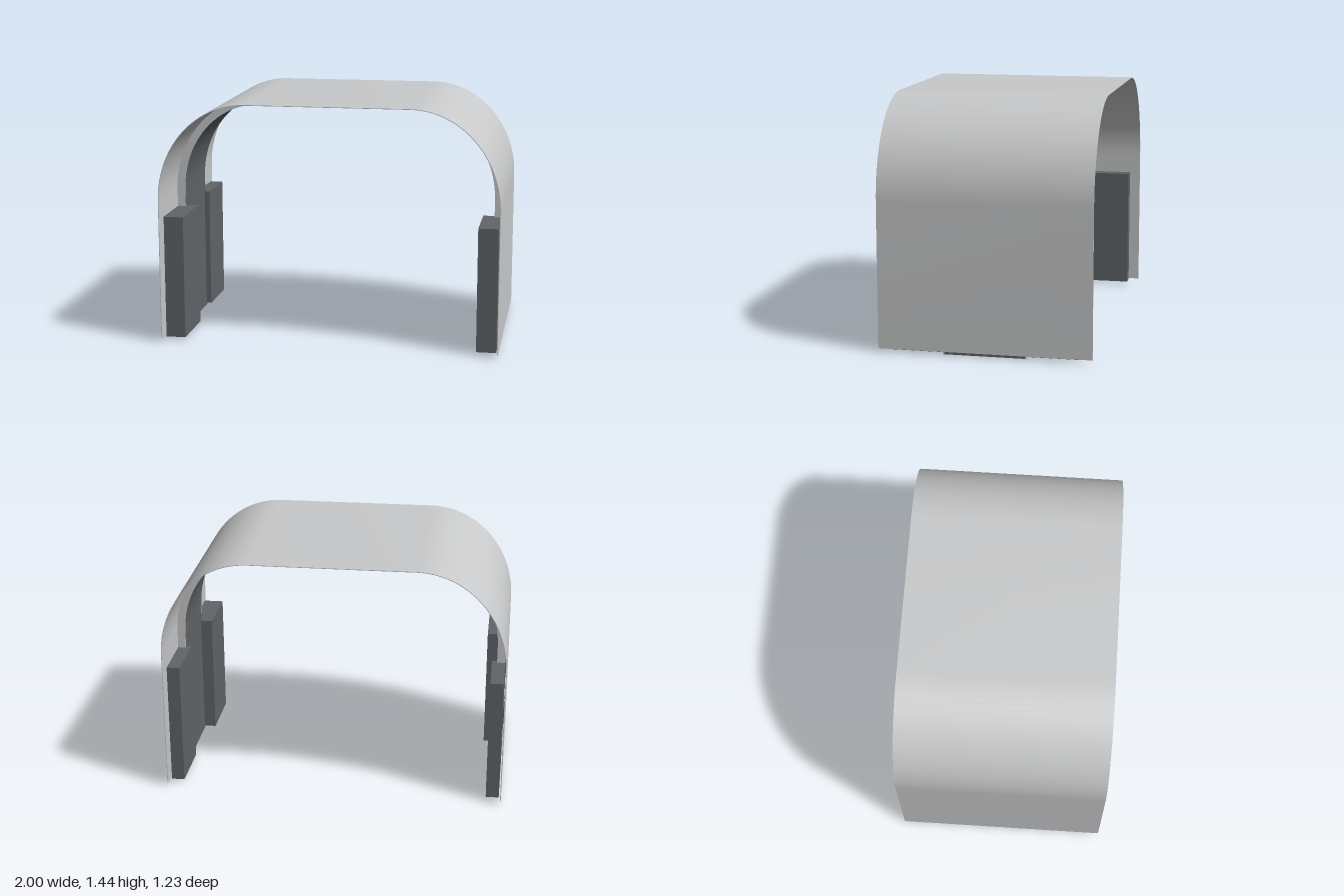
import * as THREE from 'three';
import { toCreasedNormals } from 'three/addons/utils/BufferGeometryUtils.js';

const CX = 0.48, CY = 0.86; // centre of the rounded corners

// Points of an arch line from the right foot over the top to the left foot
function archLine(halfWidth, top, foot) {
  const steps = 24, rx = halfWidth - CX, ry = top - CY;
  const right = [new THREE.Vector2(halfWidth, foot)];
  for (let i = 0; i <= steps; i++) {
    const a = (i / steps) * Math.PI / 2;
    right.push(new THREE.Vector2(CX + rx * Math.cos(a), CY + ry * Math.sin(a)));
  }
  const left = right.map(p => new THREE.Vector2(-p.x, p.y)).reverse();
  return [...right, ...left];
}

// Solid arch between an outer and an inner line, from z0 to z1
function archGeometry(outer, inner, foot, z0, z1) {
  const points = [...archLine(outer[0], outer[1], foot), ...archLine(inner[0], inner[1], foot).reverse()];
  const geometry = new THREE.ExtrudeGeometry(new THREE.Shape(points), { depth: z1 - z0, bevelEnabled: false });
  geometry.translate(0, 0, z0);
  return toCreasedNormals(geometry, 0.5);
}

export function createModel() {
  const group = new THREE.Group();
  const lightGrey = new THREE.MeshStandardMaterial({ color: 0xc8c9ca });
  lightGrey.name = 'lightGrey';
  const darkGrey = new THREE.MeshStandardMaterial({ color: 0x606568 });
  darkGrey.name = 'darkGrey';

  const add = (name, geometry, material) => {
    const mesh = new THREE.Mesh(geometry, material);
    mesh.name = name;
    group.add(mesh);
    return mesh;
  };
  const box = (name, x0, x1, y0, y1, z0, z1, material) =>
    add(name, new THREE.BoxGeometry(Math.abs(x1 - x0), y1 - y0, z1 - z0), material)
      .position.set((x0 + x1) / 2, (y0 + y1) / 2, (z0 + z1) / 2);

  // Thin outer shell
  add('shell', archGeometry([1, 1.436], [0.996, 1.432], 0.02, -0.615, 0.615), lightGrey);

  // Dark rib under the shell, with light edge plates
  const ribOuter = [0.987, 1.427], ribInner = [0.94, 1.384];
  add('rib', archGeometry(ribOuter, ribInner, 0.003, -0.232, 0.232), darkGrey);
  add('ribFrontEdge', archGeometry(ribOuter, ribInner, 0, 0.232, 0.24), lightGrey);
  add('ribBackEdge', archGeometry(ribOuter, ribInner, 0, -0.24, -0.232), lightGrey);

  // Side pads: deep ones at the front, slimmer ones at the back, with mounting clips
  for (const [side, s] of [['left', 1], ['right', -1]]) {
    box(side + 'FrontPad', s * 0.87, s * 0.987, 0.015, 0.75, 0.2, 0.55, darkGrey);
    box(side + 'BackPad', s * 0.91, s * 0.987, 0.015, 0.75, -0.55, -0.215, darkGrey);
    box(side + 'FrontClip', s * 0.985, s * 0.996, 0.44, 0.54, 0.32, 0.42, darkGrey);
    box(side + 'BackClip', s * 0.985, s * 0.996, 0.44, 0.54, -0.42, -0.32, darkGrey);
  }
  return group;
}
